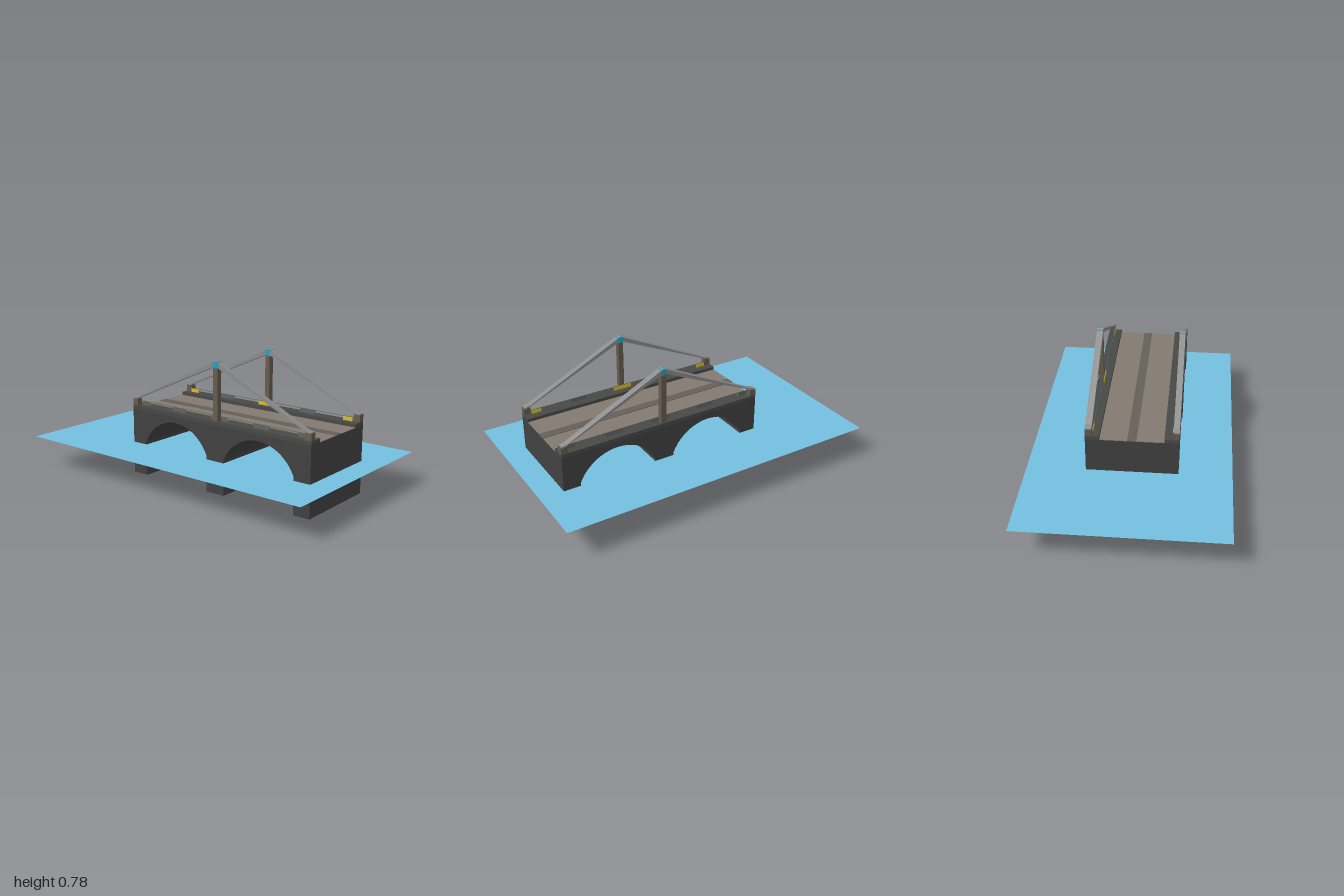
import * as THREE from 'three';

const X0 = -0.435, X1 = 0.855, MID = 0.21;   // bridge ends and middle
const Z0 = -0.25, Z1 = 0.285;                // bridge back and front
const ROAD = 0.41, KERB = 0.43;

const paint = (color, extra = {}) => new THREE.MeshStandardMaterial({ color, flatShading: true, ...extra });
const stone = paint(0x414141), kerbStone = paint(0x474947), road = paint(0x837970);
const stripe = paint(0x665f59), wood = paint(0x665c50), steel = paint(0x8c8c8c);
const blue = paint(0x1fa5c4), grey = paint(0x626462), yellow = paint(0xd8c020);
const waterBlue = paint(0x73bfde, { side: THREE.DoubleSide });

function add(parent, name, geometry, material) {
  const mesh = new THREE.Mesh(geometry, material);
  mesh.name = name;
  parent.add(mesh);
  return mesh;
}

// Box given by its limits on each axis
function block(parent, name, material, [xa, xb], [ya, yb], [za, zb]) {
  const mesh = add(parent, name, new THREE.BoxGeometry(xb - xa, yb - ya, zb - za), material);
  mesh.position.set((xa + xb) / 2, (ya + yb) / 2, (za + zb) / 2);
  return mesh;
}

// Outline in x and y, extruded from za to zb
function slab(parent, name, material, shape, za, zb) {
  const geometry = new THREE.ExtrudeGeometry(shape, { depth: zb - za, bevelEnabled: false, curveSegments: 20 });
  geometry.translate(0, 0, za);
  return add(parent, name, geometry, material);
}

// Stone body with two segmental arches on three piers
function archShape() {
  const spring = 0.215, crown = 0.37;
  const shape = new THREE.Shape();
  shape.moveTo(X0, 0);
  for (const [a, b] of [[-0.33, 0.147], [0.272, 0.75]]) {
    const half = (b - a) / 2, rise = crown - spring;
    const radius = (half * half + rise * rise) / (2 * rise);
    const cy = crown - radius, angle = Math.asin((spring - cy) / radius);
    shape.lineTo(a, 0);
    shape.lineTo(a, spring);
    shape.absarc((a + b) / 2, cy, radius, Math.PI - angle, angle, true);
    shape.lineTo(b, 0);
  }
  shape.lineTo(X1, 0);
  shape.lineTo(X1, ROAD - 0.003);
  shape.lineTo(X0, ROAD - 0.003);
  return shape;
}

// One side of the superstructure: outer edge, inner kerb edge and facing direction
function sideFrame(name, za, zb, inward) {
  const side = new THREE.Group();
  side.name = name;

  // Short end posts and tall king post
  block(side, 'endPost', wood, [X0, X0 + 0.04], [KERB, 0.472], [za, zb]);
  block(side, 'endPost', wood, [X1 - 0.04, X1], [KERB, 0.472], [za, zb]);
  block(side, 'kingPost', wood, [MID - 0.016, MID + 0.016], [KERB, 0.765], [za + 0.002, zb - 0.002]);
  block(side, 'postCap', blue, [MID - 0.0165, MID + 0.0165], [0.737, 0.772], [za - 0.001, zb + 0.001]);

  // Sloping beams, mirrored about the king post
  for (const s of [-1, 1]) {
    const reach = (X1 - X0) / 2;
    const points = [[0, 0.777], [0, 0.748], [reach - 0.005, 0.462], [reach - 0.005, 0.476], [reach - 0.04, 0.484]]
      .map(([x, y]) => new THREE.Vector2(MID + s * x, y));
    slab(side, 'slopingBeam', steel, new THREE.Shape(points), za, zb);
  }

  // Thin top rail with reflector plates beneath it
  const zr = inward > 0 ? zb + 0.002 : za - 0.002;
  block(side, 'topRail', grey, [X0 + 0.04, X1 - 0.04], [0.453, 0.456], [zr - 0.001, zr + 0.001]);
  [[-0.39, -0.33], [-0.145, -0.04], [0.15, 0.27], [0.455, 0.56], [0.75, 0.81]].forEach((span, i) => {
    block(side, 'reflectorPlate', grey, span, [KERB, 0.453], [zr - 0.001, zr + 0.001]);
    if (i % 2 === 0) {
      const zi = zr + inward * 0.002;
      block(side, 'reflector', yellow, span, [KERB, 0.453], [zi - 0.001, zi + 0.001]);
    }
  });
  return side;
}

export function createModel() {
  const model = new THREE.Group();
  model.name = 'bridge';

  // Water sheet
  const water = add(model, 'water', new THREE.PlaneGeometry(2, 1.19), waterBlue);
  water.rotation.x = -Math.PI / 2;
  water.position.y = 0.195;

  // Body, roadway and kerbs
  slab(model, 'archedBody', stone, archShape(), Z0, Z1);
  block(model, 'roadway', road, [X0, X1], [ROAD - 0.003, ROAD], [-0.168, 0.2]);
  block(model, 'centreStripe', stripe, [X0, X1], [ROAD, ROAD + 0.003], [-0.01, 0.043]);
  block(model, 'frontKerb', kerbStone, [X0, X1], [ROAD - 0.003, KERB], [0.2, Z1]);
  block(model, 'backKerb', kerbStone, [X0, X1], [ROAD - 0.003, KERB], [Z0, -0.168]);

  // Frames along both edges
  model.add(sideFrame('frontFrame', Z1 - 0.035, Z1, -1));
  model.add(sideFrame('backFrame', Z0, Z0 + 0.038, 1));
  return model;
}
